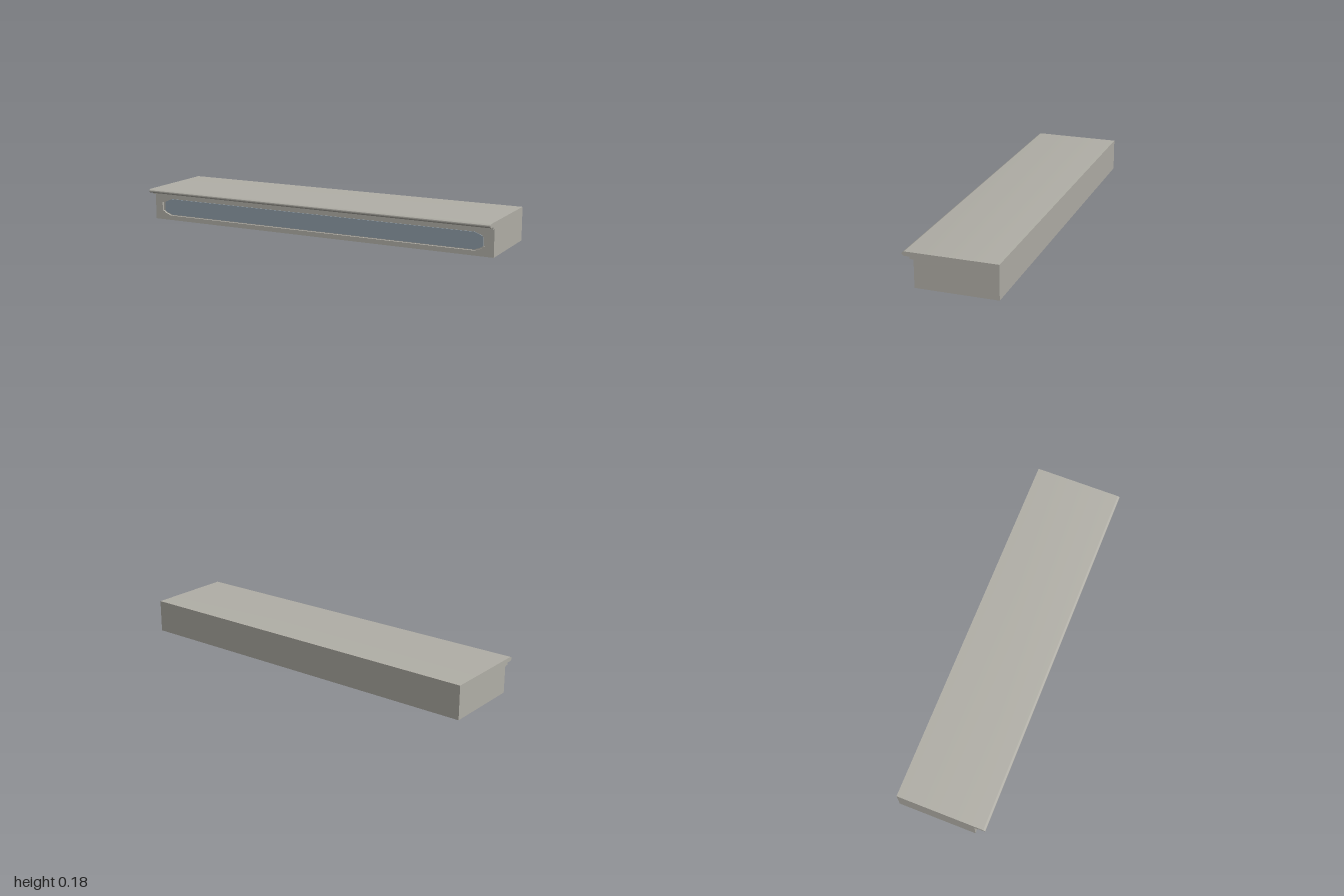
import * as THREE from 'three';
import { toCreasedNormals } from 'three/addons/utils/BufferGeometryUtils.js';

const FRONT = 0.182;      // z of the riser face
const RECESS = 0.012;     // depth of the panel recess
const PANEL_Y = 0.073;    // centre height of the panel

// Mirrors one corner (x, y offsets, from the end towards the middle) to all four.
function mirroredOutline(corner) {
  const rev = [...corner].reverse();
  const pts = [
    ...corner.map(([x, y]) => [x, y]),
    ...rev.map(([x, y]) => [-x, y]),
    ...corner.map(([x, y]) => [-x, -y]),
    ...rev.map(([x, y]) => [x, -y]),
  ];
  return pts.map(([x, y]) => new THREE.Vector2(x, y + PANEL_Y));
}

export function createModel() {
  const stone = new THREE.MeshStandardMaterial({ color: 0xb1afa7 });
  stone.name = 'warm grey stone';
  const inlay = new THREE.MeshStandardMaterial({ color: 0x8f9da8 });
  inlay.name = 'blue grey inlay';

  const group = new THREE.Group();
  group.name = 'stairStep';
  const add = (name, geometry, material, z = 0) => {
    const mesh = new THREE.Mesh(geometry, material);
    mesh.name = name;
    mesh.position.z = z;
    group.add(mesh);
  };

  // Step body with rounded nosing and small moulding, swept along x
  const profile = new THREE.Shape();
  profile.moveTo(-0.241, 0);
  profile.lineTo(FRONT - RECESS, 0);
  profile.lineTo(FRONT - RECESS, 0.143);
  profile.lineTo(0.202, 0.143);
  profile.lineTo(0.202, 0.155);
  profile.lineTo(0.226, 0.155);
  profile.absellipse(0.226, 0.166, 0.015, 0.011, -Math.PI / 2, Math.PI / 2, false);
  profile.lineTo(-0.241, 0.177);
  profile.closePath();
  const body = new THREE.ExtrudeGeometry(profile, { depth: 2, bevelEnabled: false, curveSegments: 14 });
  body.rotateY(-Math.PI / 2).translate(1, 0, 0);
  add('stepBody', toCreasedNormals(body, 0.6), stone);

  // Riser face with the notched recess cut through it
  const face = new THREE.Shape([
    new THREE.Vector2(-1, 0), new THREE.Vector2(1, 0),
    new THREE.Vector2(1, 0.143), new THREE.Vector2(-1, 0.143),
  ]);
  face.holes.push(new THREE.Path(mirroredOutline([
    [0.955, 0.024], [0.942, 0.026], [0.938, 0.034], [0.9, 0.048],
  ])));
  add('riserFace', new THREE.ExtrudeGeometry(face, { depth: RECESS, bevelEnabled: false }), stone, FRONT - RECESS);

  // Inlaid panel inside the recess
  const panel = new THREE.Shape(mirroredOutline([[0.941, 0.023], [0.932, 0.03], [0.896, 0.044]]));
  add('inlaidPanel', new THREE.ExtrudeGeometry(panel, { depth: 0.005, bevelEnabled: false }), inlay, FRONT - RECESS);

  return group;
}
